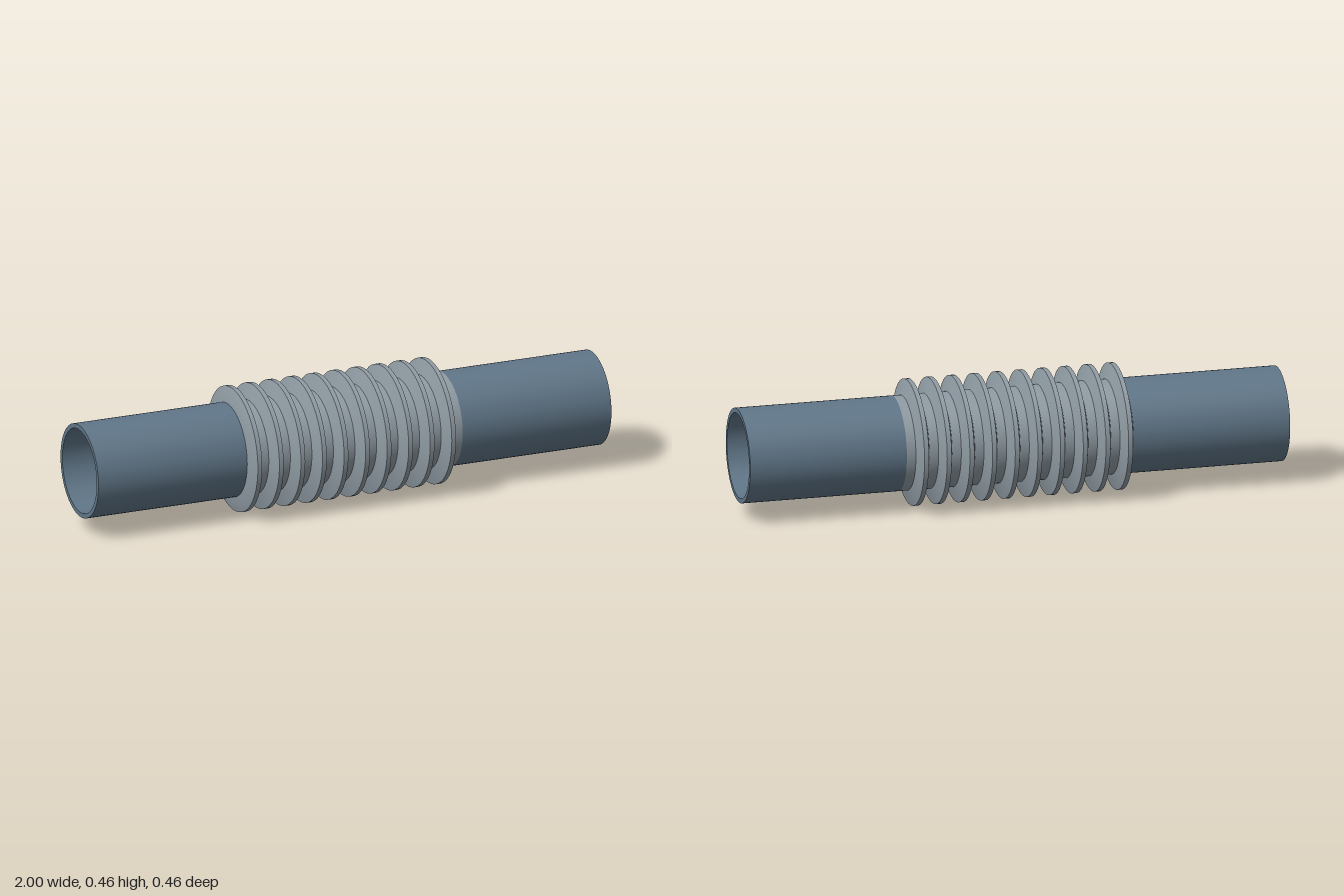
import * as THREE from 'three';
import { toCreasedNormals } from 'three/addons/utils/BufferGeometryUtils.js';

const AXIS_Y = 0.23;
const PIPE_R = 0.172, BORE_R = 0.155, RIDGE_R = 0.229;
const WALL = PIPE_R - BORE_R;
const HALF = 0.42, RIDGES = 10;

// Closed wall profile of [radius, x] pairs, revolved around the x axis
function revolve(name, outer, inner, color) {
  const loop = [...outer, ...inner.slice().reverse(), outer[0]];
  const lathe = new THREE.LatheGeometry(loop.map(([r, x]) => new THREE.Vector2(r, x)), 72);
  lathe.rotateZ(-Math.PI / 2);
  const mesh = new THREE.Mesh(
    toCreasedNormals(lathe, 0.4),
    new THREE.MeshStandardMaterial({ color })
  );
  mesh.name = name;
  mesh.position.y = AXIS_Y;
  return mesh;
}

function pipe(name, x0, x1) {
  return revolve(name, [[PIPE_R, x0], [PIPE_R, x1]], [[BORE_R, x0], [BORE_R, x1]], 0x607688);
}

// Corrugated sleeve: each pitch is a tapered ridge followed by a flat valley
function bellows() {
  const pitch = (2 * HALF) / RIDGES;
  const outer = [];
  for (let i = 0; i < RIDGES; i++) {
    const x = -HALF + i * pitch;
    outer.push(
      [PIPE_R, x],
      [RIDGE_R, x + 0.2 * pitch],
      [RIDGE_R, x + 0.4 * pitch],
      [PIPE_R, x + 0.6 * pitch]
    );
  }
  outer.push([PIPE_R, HALF]);
  const inner = outer.map(([r, x]) => [r - WALL, x]);
  return revolve('bellows', outer, inner, 0x8f9ba3);
}

export function createModel() {
  const group = new THREE.Group();
  group.name = 'bellowsPipe';
  group.add(pipe('rightPipe', -1, -HALF), bellows(), pipe('leftPipe', HALF, 1));
  return group;
}
